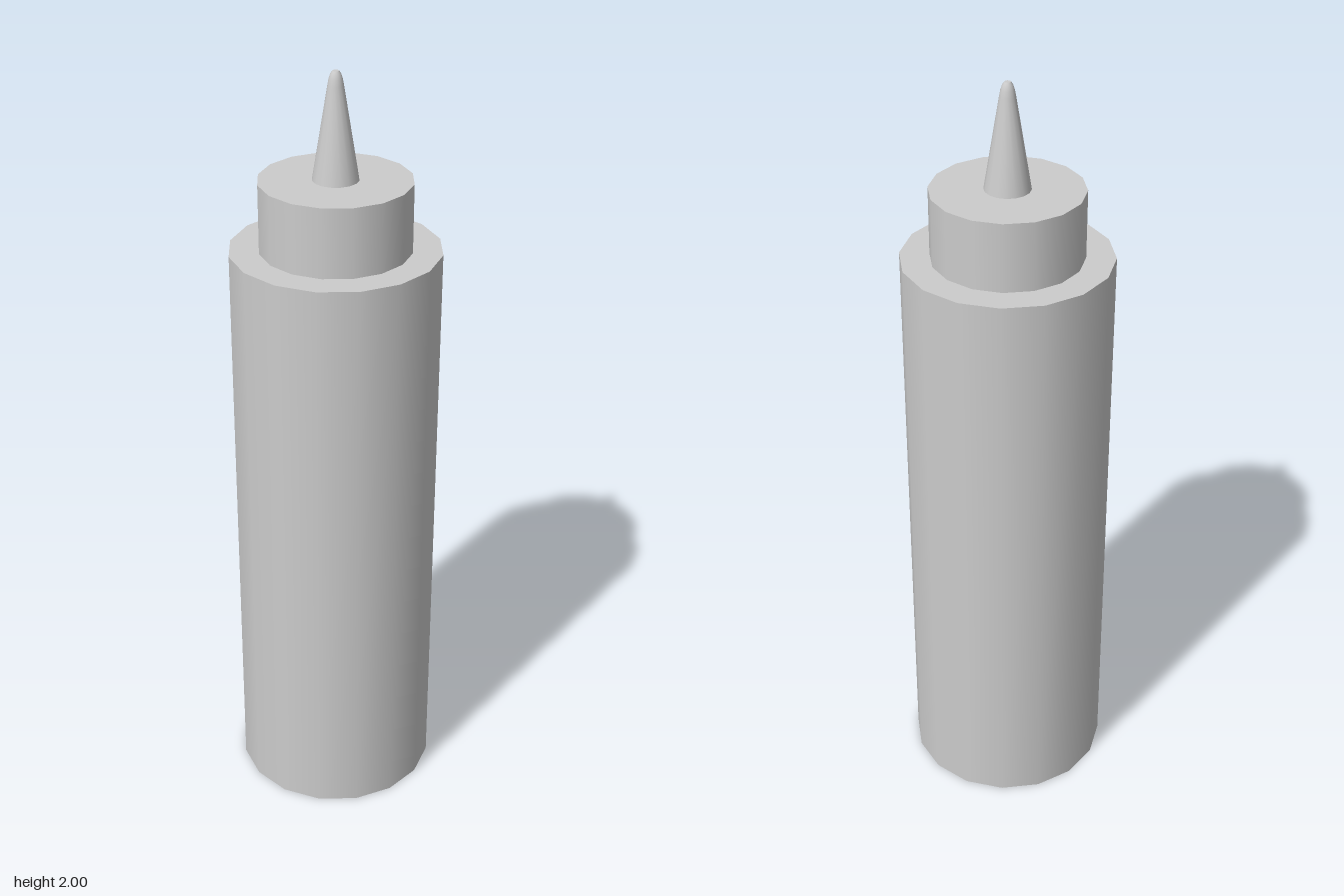
import * as THREE from 'three';

const SIDES = 16;

export function createModel() {
  const group = new THREE.Group();
  const material = new THREE.MeshStandardMaterial({ color: 0xcccccc });

  const add = (name, geometry, y) => {
    const mesh = new THREE.Mesh(geometry, material);
    mesh.name = name;
    mesh.position.y = y;
    group.add(mesh);
  };

  // Upright closed cylinder standing on height y
  const addCylinder = (name, radius, y, height) =>
    add(name, new THREE.CylinderGeometry(radius, radius, height, SIDES), y + height / 2);

  addCylinder('bottleBody', 0.267, 0, 1.555);
  addCylinder('screwCap', 0.192, 1.555, 0.178);

  // Tapered nozzle with a rounded shoulder at the tip
  const profile = [
    [0.058, 0], [0.02, 0.232], [0.017, 0.248], [0.013, 0.26], [0.008, 0.267],
  ].map(([r, y]) => new THREE.Vector2(r, y));
  add('nozzle', new THREE.LatheGeometry(profile, SIDES), 1.733);

  // Small flat disc closing the nozzle
  const tip = new THREE.CircleGeometry(0.008, SIDES);
  tip.rotateX(-Math.PI / 2);
  add('nozzleTip', tip, 2);

  return group;
}
